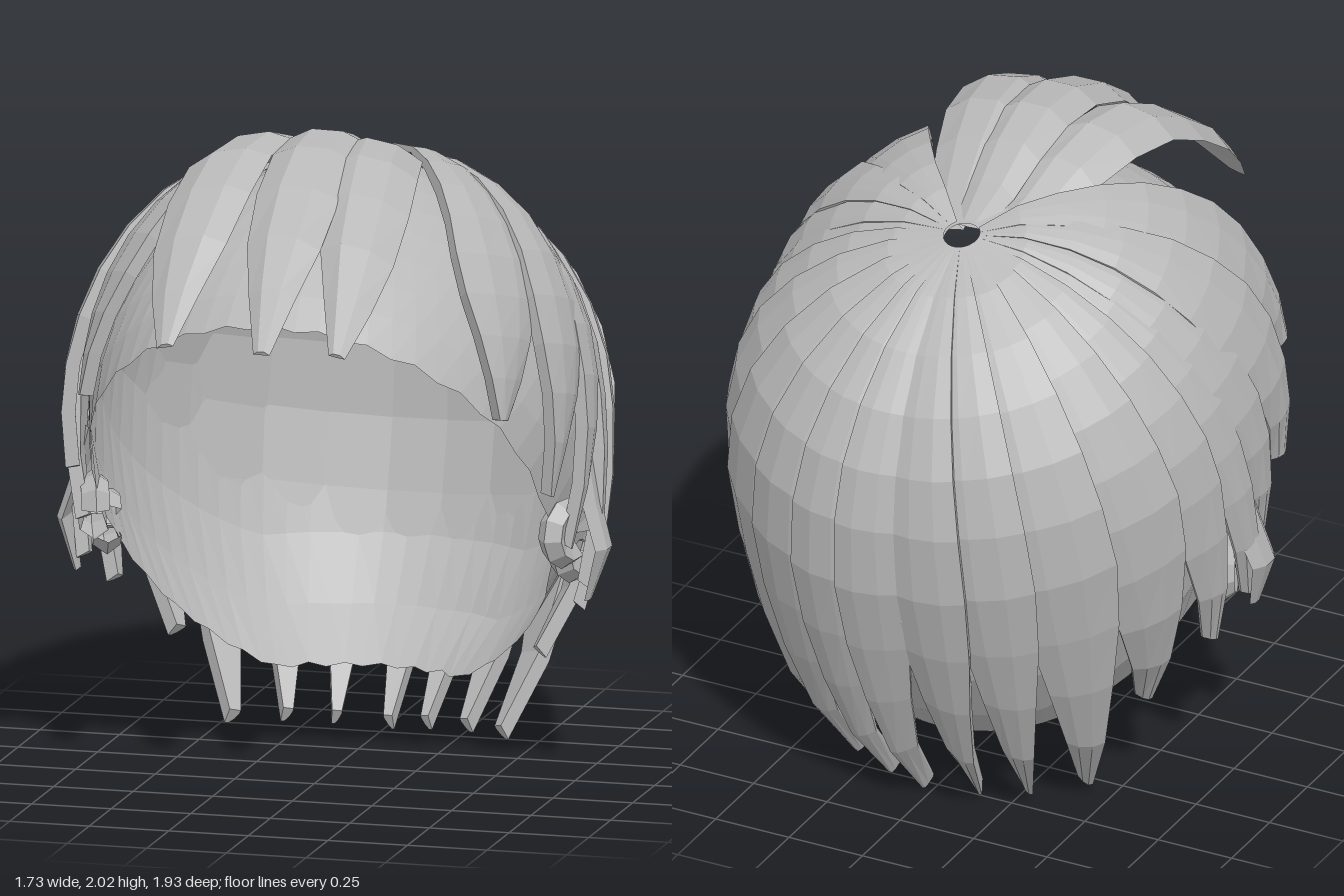
import * as THREE from 'three';

const hair = new THREE.MeshStandardMaterial({ color: 0xb8b8b8, flatShading: true, side: THREE.DoubleSide });
hair.name = 'hair grey';

// Head shape: an ellipsoid with different radii above/below and front/back
const CY = 1.05, CZ = -0.1, RX = 0.8, TILT = -0.294;
const ry = v => (v > 0 ? 0.805 : 1.0);
const rz = v => (v > 0 ? 1.05 : 0.85);
const X = new THREE.Vector3(1, 0, 0);

// theta runs down from the crown, phi around it (0 = front), r scales the head
function onHead(theta, phi, r = 1) {
  const d = new THREE.Vector3(
    Math.sin(theta) * Math.sin(phi), Math.cos(theta), Math.sin(theta) * Math.cos(phi)
  ).applyAxisAngle(X, TILT).multiplyScalar(r);
  return new THREE.Vector3(d.x * RX, CY + d.y * ry(d.y), CZ + d.z * rz(d.z));
}

function toHead([x, y, z]) {
  const d = new THREE.Vector3(x / RX, (y - CY) / ry(y - CY), (z - CZ) / rz(z - CZ));
  const r = d.length();
  d.divideScalar(r).applyAxisAngle(X, -TILT);
  return { theta: Math.acos(d.y), phi: Math.atan2(d.x, d.z), r };
}

// The hairline is a sloping plane that levels off at the nape
function hairline(phi) {
  let t = 0.3;
  for (; t < 2.9; t += 0.005) {
    const p = onHead(t, phi);
    if (p.y < Math.max(0.18, 0.62 + 1.2 * p.z)) break;
  }
  return t;
}

// Skin rows of points; each row may be a closed loop, the last row capped
function skin(name, rows, closed) {
  const n = rows[0].length, pos = [], idx = [];
  rows.forEach(row => row.forEach(p => pos.push(p.x, p.y, p.z)));
  for (let i = 0; i < rows.length - 1; i++) {
    for (let j = 0; j < (closed ? n : n - 1); j++) {
      const a = i * n + j, b = i * n + (j + 1) % n;
      idx.push(a, a + n, b, b, a + n, b + n);
    }
  }
  if (closed) {
    const e = (rows.length - 1) * n;
    for (let j = 1; j < n - 1; j++) idx.push(e, e + j + 1, e + j);
  }
  const g = new THREE.BufferGeometry();
  g.setAttribute('position', new THREE.Float32BufferAttribute(pos, 3));
  g.setIndex(idx);
  g.computeVertexNormals();
  const m = new THREE.Mesh(g, hair);
  m.name = name;
  return m;
}

// Scalp shell, drawn in at the sides, with a small hole at the crown
function scalp() {
  const rows = [], cols = 64, steps = 9;
  const ends = [];
  for (let j = 0; j <= cols; j++) ends.push(hairline((j / cols) * Math.PI * 2));
  for (let i = 0; i <= steps; i++) {
    const row = [], t = i / steps;
    for (let j = 0; j <= cols; j++) {
      const phi = (j / cols) * Math.PI * 2;
      const tooth = i === steps && j % 2 ? 0.02 : 0;
      const r = 0.982 - 0.04 * t * Math.sin(phi) ** 2;
      row.push(onHead(0.07 + (ends[j] - 0.07) * t + tooth, phi, r));
    }
    rows.push(row);
  }
  return skin('scalp', rows, false);
}

// A lock lies on the head from crown to tip, one edge raised over its neighbour;
// swell lifts its upper part away from the head
function lock(name, tip, left, right, side, swell) {
  const rows = [], steps = 10;
  const us = [-1, -0.35, 0.35, 1], lifts = [-0.015, 0.01, 0.026, 0.028];
  for (let i = 0; i <= steps; i++) {
    const t = i / steps;
    const theta = 0.07 + (tip.theta - 0.07) * t;
    const s = Math.max(0, (t - 0.75) / 0.25);
    const r = 0.997 + (tip.r - 0.997) * s + swell * Math.sin(Math.PI * t ** 0.75);
    const w = t < 0.65 ? 1 : 1 - 0.84 * (t - 0.65) / 0.35;
    const lift = Math.min(1, t * 2.5);
    const at = (u, h) => onHead(theta, tip.phi + (u < 0 ? left : right) * u * w, r + h * lift);
    const row = us.map((u, k) => at(u, lifts[side > 0 ? k : 3 - k]));
    row.push(at(1, -0.025), at(-1, -0.025));
    rows.push(row);
  }
  return skin(name, rows, true);
}

// A free lock follows centre points, with half widths along one direction
function freeLock(name, centres, halves, across, depth) {
  const rows = centres.map((c, i) => {
    const w = across.clone().multiplyScalar(halves[i]);
    const d = depth.clone().multiplyScalar(Math.min(1, halves[i] / 0.1));
    return [
      c.clone().sub(w).addScaledVector(d, 1.1), c.clone().addScaledVector(w, -0.4),
      c.clone().addScaledVector(w, 0.4), c.clone().add(w).addScaledVector(d, 1.1),
      c.clone().addScaledVector(d, 1.2)
    ];
  });
  return skin(name, rows, true);
}

export function createModel() {
  const model = new THREE.Group();
  model.name = 'hair';
  model.add(scalp());

  // Tips of the locks from one temple around the nape to the other
  const half = [
    [0.66, 1.2, 0.48], [0.75, 0.93, 0.28], [0.76, 0.74, 0.12], [0.785, 0.6, 0.02],
    [0.73, 0.5, -0.12], [0.57, 0.32, -0.25], [0.42, 0.04, -0.35], [0.28, 0.03, -0.46], [0.14, 0.02, -0.51]
  ];
  const tips = [
    ...half, [0.02, 0.01, -0.53],
    ...half.map(([x, y, z]) => [-x, y, z]).reverse()
  ].map(toHead);
  tips.forEach(t => { if (t.phi < 0) t.phi += Math.PI * 2; });
  tips.sort((a, b) => a.phi - b.phi);
  const swells = [0.09, 0.075, 0.03];
  tips.forEach((tip, i) => {
    const gapL = i > 0 ? tip.phi - tips[i - 1].phi : 0.36;
    const gapR = i < tips.length - 1 ? tips[i + 1].phi - tip.phi : 0.36;
    const side = tip.phi < Math.PI ? -1 : 1;
    const swell = swells[Math.min(i, tips.length - 1 - i)] ?? 0;
    model.add(lock('lock' + (i + 1), tip, Math.max(0.1, gapL * 0.62), Math.max(0.1, gapR * 0.62), side, swell));
  });

  // Three locks of the fringe arch up from the crown and over the forehead
  const arch = [[-0.27, 1.825], [-0.12, 1.88], [0.02, 1.955], [0.18, 2.0], [0.36, 1.985],
    [0.55, 1.905], [0.72, 1.785], [0.85, 1.65], [0.965, 1.48]];
  const spread = [0.3, 0.5, 0.62, 0.75, 0.85, 0.92, 0.97, 1, 1];
  const halves = [0.05, 0.085, 0.105, 0.122, 0.13, 0.13, 0.115, 0.074, 0.026];
  [-0.28, 0.03, 0.26].forEach((tipX, k) => {
    const drop = Math.abs(tipX) > 0.1 ? 0.025 : 0;
    const centres = arch.map(([z, y], i) => new THREE.Vector3(
      tipX * spread[i], y - (i < 8 ? drop : 0), z - (i > 4 ? drop : 0)));
    const across = new THREE.Vector3(1, -tipX * 0.7, 0);
    model.add(freeLock('fringe' + (k + 1), centres, halves, across, new THREE.Vector3(0, -0.035, -0.015)));
  });

  // Flared lock and thick curls in front of each ear
  for (const s of [1, -1]) {
    const path = [[0.79, 1.0, -0.02], [0.825, 0.85, 0], [0.865, 0.72, 0.02], [0.81, 0.56, 0.04]];
    model.add(freeLock(s > 0 ? 'leftFlare' : 'rightFlare',
      path.map(([x, y, z]) => new THREE.Vector3(x * s, y, z)),
      [0.06, 0.075, 0.07, 0.03], new THREE.Vector3(0, 0, -s), new THREE.Vector3(-0.035 * s, 0, 0)));
    [[0.74, 0.77, 0.08, 0.065], [0.735, 0.7, -0.04, 0.065]].forEach(([x, y, z, r], k) => {
      const curl = new THREE.Mesh(new THREE.TorusGeometry(r, 0.045, 5, 8, 5.2), hair);
      curl.name = (s > 0 ? 'leftCurl' : 'rightCurl') + (k + 1);
      curl.position.set(x * s, y, z);
      curl.rotation.set(0, s * (Math.PI / 2 - 0.35), 0.6 * k);
      model.add(curl);
    });
  }
  return model;
}
